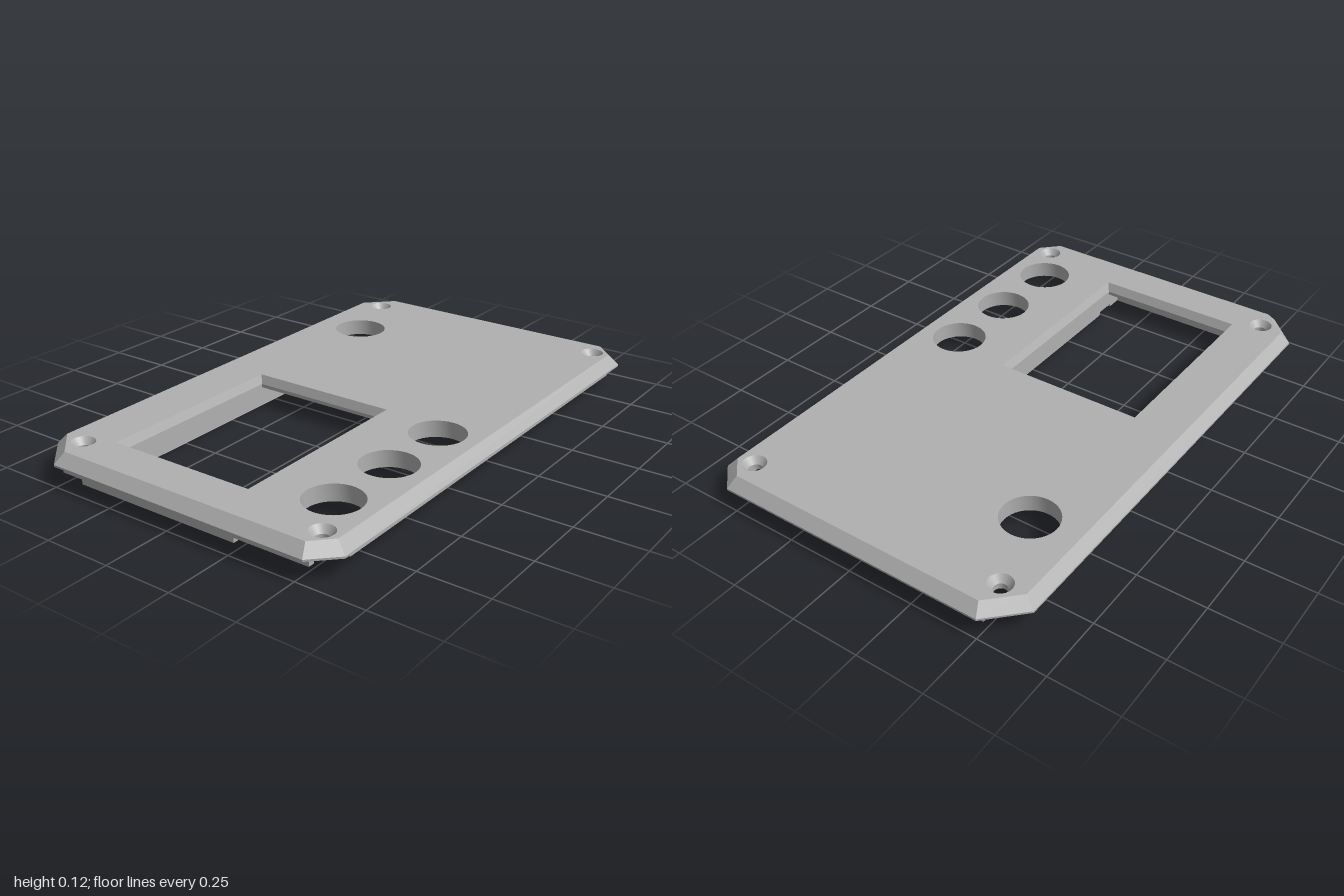
import * as THREE from 'three';

const grey = new THREE.MeshStandardMaterial({ color: 0xb0b0b0 });
grey.name = 'plain grey';

const BASE = 0.075, TOP = 0.12;

// Loops are [x, z] points, anticlockwise seen from above.
const circle = (x, z, r, n = 40) => Array.from({ length: n }, (_, i) => {
  const a = (i / n) * Math.PI * 2;
  return [x + r * Math.cos(a), z - r * Math.sin(a)];
});
const rect = (x0, x1, z0, z1) => [[x0, z1], [x1, z1], [x1, z0], [x0, z0]];

// Rectangle with cut corners; the front and back cuts differ.
const octagon = (hx, zb, zf, xb, zbc, xf, zfc) => [
  [-xf, zf], [xf, zf], [hx, zfc], [hx, zbc], [xb, zb], [-xb, zb], [-hx, zbc], [-hx, zfc]];

// Flat face with holes, facing up or down.
function cap(outline, holes, y, up) {
  const s = up ? -1 : 1;
  const vec = (loop) => loop.map(([x, z]) => new THREE.Vector2(x, s * z));
  const shape = new THREE.Shape(vec(outline));
  shape.holes = holes.map((h) => new THREE.Path(vec(h)));
  return new THREE.ShapeGeometry(shape).rotateX(s * Math.PI / 2).translate(0, y, 0);
}

// Wall between a lower and an upper loop; inward walls face the inside.
function wall(low, yLow, high, yHigh, inward = false, smooth = false) {
  const n = low.length, pos = [], idx = [];
  low.forEach(([x, z], i) => pos.push(x, yLow, z, high[i][0], yHigh, high[i][1]));
  for (let i = 0; i < n; i++) {
    const a = 2 * i, b = 2 * ((i + 1) % n);
    if (inward) idx.push(a, b + 1, b, a, a + 1, b + 1);
    else idx.push(a, b, b + 1, a, b + 1, a + 1);
  }
  let g = new THREE.BufferGeometry();
  g.setAttribute('position', new THREE.Float32BufferAttribute(pos, 3));
  g.setIndex(idx);
  if (!smooth) g = g.toNonIndexed();
  g.computeVertexNormals();
  return g;
}

export function createModel() {
  const model = new THREE.Group();
  model.name = 'frontPanel';
  const group = (name) => {
    const g = new THREE.Group();
    g.name = name;
    model.add(g);
    return g;
  };
  const add = (parent, name, geometry) => {
    const m = new THREE.Mesh(geometry, grey);
    m.name = name;
    parent.add(m);
  };
  const box = (parent, name, x0, x1, y0, y1, z0, z1) => add(parent, name,
    new THREE.BoxGeometry(x1 - x0, y1 - y0, z1 - z0)
      .translate((x0 + x1) / 2, (y0 + y1) / 2, (z0 + z1) / 2));

  // Panel outlines and openings
  const outer = octagon(1, -0.62, 0.617, 0.877, -0.5, 0.914, 0.53);
  const inner = octagon(0.964, -0.585, 0.58, 0.862, -0.484, 0.897, 0.514);
  const windowTop = rect(-0.815, -0.065, -0.4, 0.175);
  const windowLow = rect(-0.798, -0.079, -0.387, 0.16);
  const round = [[-0.714, 0.427], [-0.418, 0.427], [-0.126, 0.427], [0.577, -0.398]];
  const screws = [[-0.873, -0.495], [0.87, -0.495], [-0.887, 0.515], [0.883, 0.515]];
  const R = 0.102, RING = 0.122, RING_Y = 0.058;
  const big = round.map(([x, z]) => circle(x, z, R));
  const sinkTop = screws.map(([x, z]) => circle(x, z, 0.043, 24));
  const sinkLow = screws.map(([x, z]) => circle(x, z, 0.024, 24));

  // Bevelled plate
  const plate = group('plate');
  add(plate, 'topFace', cap(inner, [windowTop, ...big, ...sinkTop], TOP, true));
  add(plate, 'underside', cap(outer, [windowLow, ...big, ...sinkLow], BASE, false));
  add(plate, 'edge', wall(outer, BASE, outer, 0.082));
  add(plate, 'edgeBevel', wall(outer, 0.082, inner, TOP));

  // Screen window
  add(plate, 'windowBevel', wall(windowLow, 0.088, windowTop, TOP, true));
  add(plate, 'windowEdge', wall(windowLow, BASE, windowLow, 0.088, true));

  // Round openings with a raised ring underneath
  const openings = group('roundOpenings');
  round.forEach(([x, z], i) => {
    const rim = circle(x, z, RING);
    add(openings, 'openingWall', wall(big[i], RING_Y, big[i], TOP, true, true));
    add(openings, 'ringWall', wall(rim, RING_Y, rim, BASE, false, true));
    add(openings, 'ringFace', cap(rim, [big[i]], RING_Y, false));
  });

  // Countersunk screw holes
  const holes = group('screwHoles');
  screws.forEach((_, i) => {
    add(holes, 'countersink', wall(sinkLow[i], 0.095, sinkTop[i], TOP, true, true));
    add(holes, 'screwBore', wall(sinkLow[i], BASE, sinkLow[i], 0.095, true, true));
  });

  // Locating lips along the four edges
  const lips = group('locatingLips');
  box(lips, 'frontLip', -0.85, 0.88, 0.04, BASE, 0.563, 0.587);
  box(lips, 'backLip', -0.85, 0.85, 0.04, BASE, -0.585, -0.562);
  for (const s of [-1, 1]) {
    const x = s * 0.952;
    box(lips, 'sideLip', x - 0.012, x + 0.012, 0.04, BASE, -0.5, 0.525);
  }

  // Screen frame, open on one side, with a notch beside the end bosses
  const frame = group('screenFrame');
  for (const [z0, z1] of [[0.165, 0.22], [-0.44, -0.39]]) {
    box(frame, 'frameWall', -0.74, 0.11, 0, BASE, z0, z1);
    box(frame, 'frameNotch', -0.82, -0.74, 0.015, BASE, z0, z1);
    box(frame, 'frameCorner', -0.94, -0.82, 0.004, BASE, z0, z1);
  }
  box(frame, 'frameEnd', -0.94, -0.88, 0.004, BASE, -0.39, 0.165);

  // Hollow mounting bosses against the frame
  const bosses = group('mountingBosses');
  for (const x of [-0.805, -0.163]) {
    for (const z of [0.248, -0.468]) {
      const out = circle(x, z, 0.033, 24), bore = circle(x, z, 0.014, 24);
      add(bosses, 'bossWall', wall(out, 0.016, out, BASE, false, true));
      add(bosses, 'bossBore', wall(bore, 0.016, bore, BASE, true, true));
      add(bosses, 'bossFace', cap(out, [bore], 0.016, false));
    }
  }
  return model;
}
